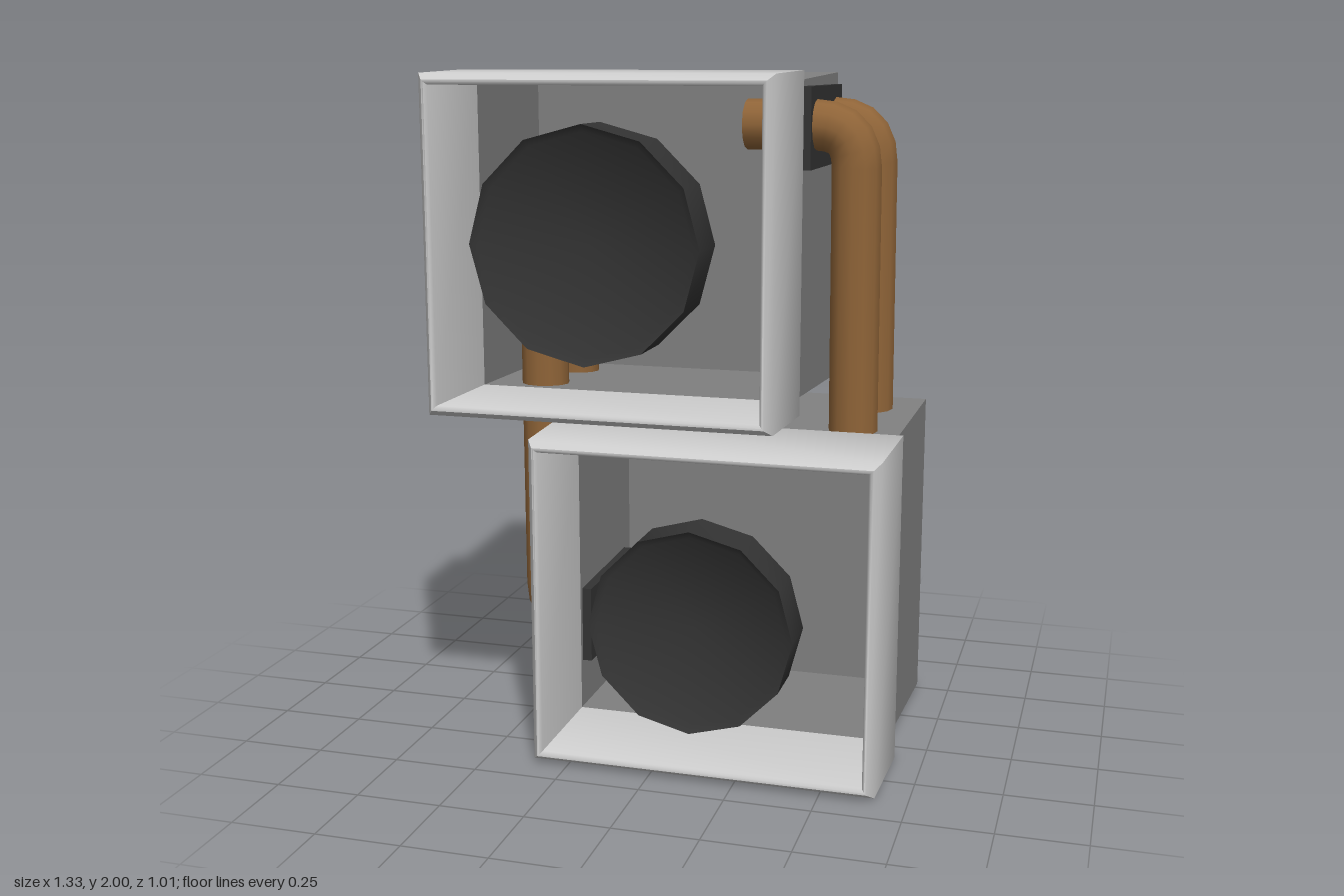
import * as THREE from 'three';
import { toCreasedNormals } from 'three/addons/utils/BufferGeometryUtils.js';

function material(name, color, side = THREE.FrontSide) {
  const m = new THREE.MeshStandardMaterial({ color, side });
  m.name = name;
  return m;
}

// Rectangular shell through cross-sections [halfWidth, halfHeight, z]
function rectLoft(sections) {
  const corners = [[1, 1], [-1, 1], [-1, -1], [1, -1]];
  const rings = sections.map(([w, h, z]) => corners.map(([sx, sy]) => [sx * w, sy * h, z]));
  const pos = [];
  for (let i = 0; i < rings.length - 1; i++) {
    for (let j = 0; j < 4; j++) {
      const k = (j + 1) % 4;
      const a = rings[i][j], b = rings[i][k], c = rings[i + 1][k], d = rings[i + 1][j];
      pos.push(...a, ...d, ...c, ...a, ...c, ...b);
    }
  }
  const geo = new THREE.BufferGeometry();
  geo.setAttribute('position', new THREE.Float32BufferAttribute(pos, 3));
  return toCreasedNormals(geo, 0.9);
}

// Twelve-sided drum with a dished front
function dishGeometry(r, depth) {
  const profile = [[0, 0], [r, 0], [r, depth], [r - 0.02, depth - 0.015], [0, depth - 0.06]]
    .map(([x, y]) => new THREE.Vector2(x, y));
  const geo = new THREE.LatheGeometry(profile, 12).rotateX(Math.PI / 2);
  return toCreasedNormals(geo, 0.6);
}

// Pipe running sideways out of a box, then bending along y
function pipeGeometry(start, bend, end, r = 0.073) {
  const s = new THREE.Vector3(...start), b = new THREE.Vector3(...bend), e = new THREE.Vector3(...end);
  const p1 = b.clone().lerp(s, 0.12 / b.distanceTo(s));
  const p2 = b.clone().lerp(e, 0.12 / b.distanceTo(e));
  const pts = [s, ...new THREE.QuadraticBezierCurve3(p1, b, p2).getPoints(5), e];
  const path = new THREE.CurvePath();
  for (let i = 0; i < pts.length - 1; i++) path.add(new THREE.LineCurve3(pts[i], pts[i + 1]));
  // sample exactly at the path corners
  path.getPointAt = (u) => pts[Math.round(u * (pts.length - 1))].clone();
  path.getTangentAt = (u) => {
    const i = Math.round(u * (pts.length - 1));
    return pts[Math.min(i + 1, pts.length - 1)].clone().sub(pts[Math.max(i - 1, 0)]).normalize();
  };
  return new THREE.TubeGeometry(path, pts.length - 1, r, 12, false);
}

export function createModel() {
  const model = new THREE.Group();
  model.name = 'stackedBoxes';
  const bodyMat = material('mid grey', 0x808080, THREE.DoubleSide);
  const hoodMat = material('light grey', 0xcccccc, THREE.DoubleSide);
  const darkMat = material('charcoal', 0x333333);
  const pipeMat = material('copper brown', 0x8f6438, THREE.DoubleSide);

  const add = (parent, name, geo, mat, x = 0, y = 0, z = 0) => {
    const mesh = new THREE.Mesh(geo, mat);
    mesh.name = name;
    mesh.position.set(x, y, z);
    parent.add(mesh);
  };

  // Hollow body, flaring to the closed back
  const bodyGeo = rectLoft([[0.483, 0.46, 0.035], [0.498, 0.48, -0.51], [0, 0, -0.51]]);
  // Open hood with a rounded rim
  const hoodGeo = rectLoft([
    [0.482, 0.459, 0.036], [0.474, 0.451, 0.405], [0.482, 0.459, 0.415], [0.488, 0.465, 0.415],
    [0.507, 0.483, 0.388], [0.515, 0.49, 0.078], [0.483, 0.46, 0.035],
  ]);

  const units = [
    { name: 'upper', x: -0.153, y: 1.51, dishY: 1.535, r: 0.327, front: 0.485, depth: 0.16,
      plate: [0.33, 0.37, 1.837], pipe: [[0.165, 1.845], [0.487, 1.845], [0.493, 0.92]] },
    { name: 'lower', x: 0.15, y: 0.49, dishY: 0.48, r: 0.292, front: 0.505, depth: 0.14,
      plate: [-0.365, -0.305, 0.298], pipe: [[-0.155, 0.285], [-0.473, 0.285], [-0.475, 1.215]] },
  ];

  for (const u of units) {
    const group = new THREE.Group();
    group.name = u.name + 'Unit';
    add(group, 'body', bodyGeo, bodyMat, u.x, u.y);
    add(group, 'hood', hoodGeo, hoodMat, u.x, u.y);
    add(group, 'dish', dishGeometry(u.r, u.depth), darkMat, u.x, u.dishY, u.front - u.depth);

    // Side plate carrying the pair of pipes
    const [x0, x1, py] = u.plate;
    add(group, 'pipePlate', new THREE.BoxGeometry(x1 - x0, 0.235, 0.46), darkMat, (x0 + x1) / 2, py, -0.215);
    for (const z of [-0.072, -0.358]) {
      add(group, 'pipe', pipeGeometry(...u.pipe.map(([x, y]) => [x, y, z])), pipeMat);
    }
    model.add(group);
  }
  return model;
}
